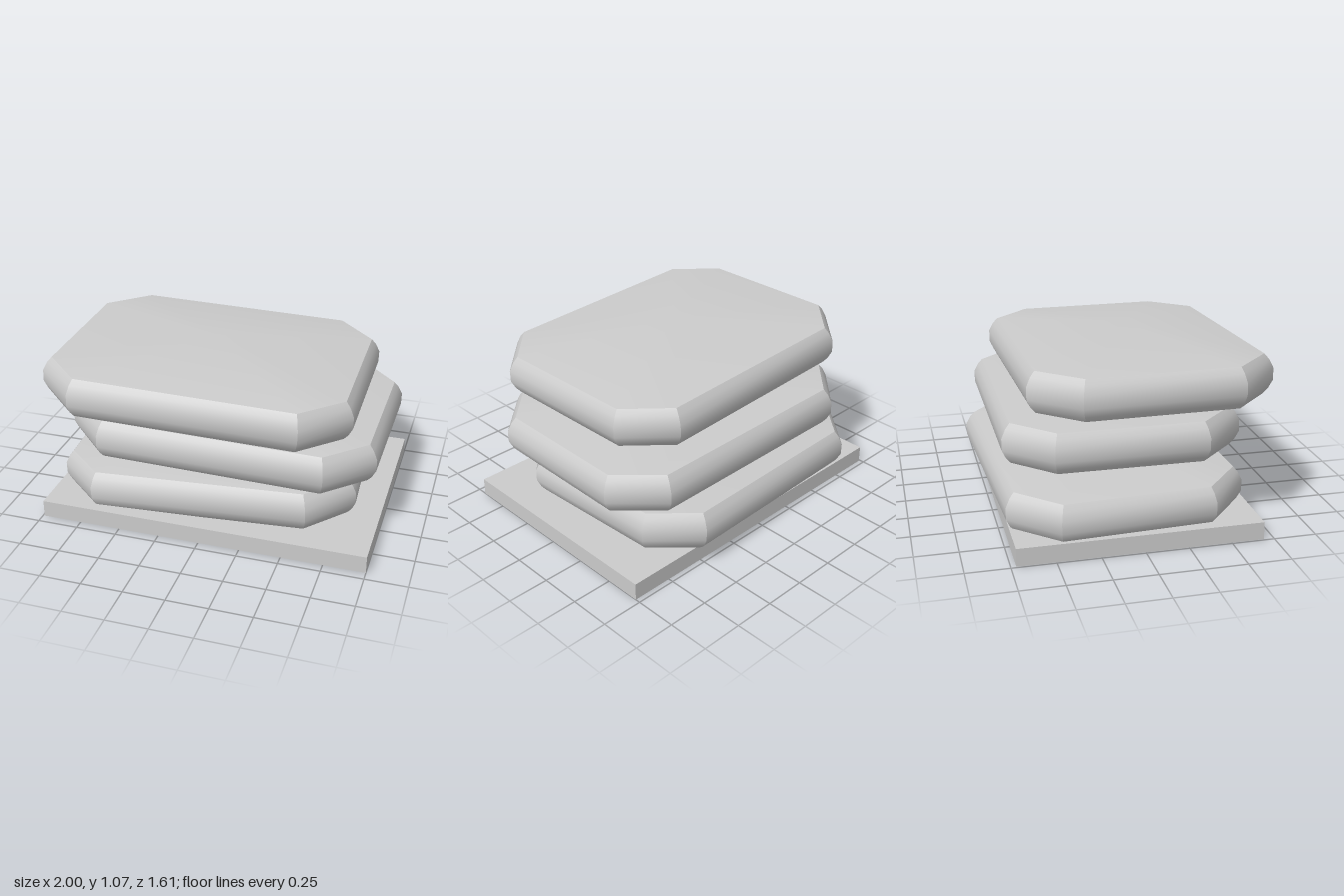
import * as THREE from 'three';

const material = new THREE.MeshStandardMaterial({ color: 0xcccccc, side: THREE.DoubleSide });

// Rectangle with cut corners, seen from above, pulled in by `inset`
function octagon(halfX, halfZ, cut, inset) {
  const x = halfX - inset, z = halfZ - inset;
  const c = cut - inset * 0.586; // keeps the slanted sides parallel at the same inset
  return [
    [x - c, z], [x, z - c], [x, -z + c], [x - c, -z],
    [-x + c, -z], [-x, -z + c], [-x, z - c], [-x + c, z],
  ];
}

function patch(name, points, index) {
  const geometry = new THREE.BufferGeometry();
  geometry.setAttribute('position', new THREE.Float32BufferAttribute(points.flat(), 3));
  geometry.setIndex(index);
  geometry.computeVertexNormals();
  const mesh = new THREE.Mesh(geometry, material);
  mesh.name = name;
  return mesh;
}

// Slab with bulging sides, a low peaked top and a flat underside
function slab(name, halfX, halfZ, rise) {
  const group = new THREE.Group();
  group.name = name;

  // [height, inset] of each ring from bottom to top
  const profile = [[-0.117, 0.05], [-0.085, 0.024], [-0.035, 0], [0.035, 0], [0.085, 0.024], [0.117, 0.05]];
  const rings = profile.map(([y, inset]) =>
    octagon(halfX, halfZ, 0.255, inset).map(([x, z]) => [x, y, z]));
  const last = rings.length - 1;

  // Each side is its own strip: smooth up and down, sharp at the corners
  for (let i = 0; i < 8; i++) {
    const j = (i + 1) % 8;
    const points = [], index = [];
    rings.forEach((ring, r) => {
      points.push(ring[i], ring[j]);
      if (r < last) {
        const a = r * 2;
        index.push(a, a + 1, a + 3, a, a + 3, a + 2);
      }
    });
    group.add(patch('side' + (i + 1), points, index));
  }

  // Top and underside as fans round a centre point
  const top = [], bottom = [];
  for (let i = 0; i < 8; i++) {
    const j = (i + 1) % 8;
    top.push(8, i, j);
    bottom.push(8, j, i);
  }
  group.add(patch('top', [...rings[last], [0, 0.117 + rise, 0]], top));
  group.add(patch('underside', [...rings[0], [0, -0.117, 0]], bottom));
  return group;
}

export function createModel() {
  const model = new THREE.Group();
  model.name = 'slabStack';

  // Flat base plate
  const base = new THREE.Mesh(new THREE.BoxGeometry(1.99, 0.105, 1.41), material);
  base.name = 'basePlate';
  base.position.set(0.005, 0.0525, -0.015);
  model.add(base);

  // Three loosely stacked slabs, each shifted, turned and tilted a little
  const slabs = [
    { name: 'lowerSlab', half: [0.905, 0.7], rise: 0.076, at: [-0.07, 0.222, -0.073], turn: 0.054, tilt: 0.028 },
    { name: 'middleSlab', half: [0.93, 0.69], rise: 0.075, at: [0.05, 0.549, -0.035], turn: -0.007, tilt: -0.014 },
    { name: 'upperSlab', half: [0.916, 0.705], rise: 0.085, at: [-0.075, 0.871, 0.087], turn: 0.019, tilt: -0.027 },
  ];
  for (const s of slabs) {
    const part = slab(s.name, s.half[0], s.half[1], s.rise);
    part.position.set(...s.at);
    part.rotation.set(0, s.turn, s.tilt);
    model.add(part);
  }
  return model;
}
